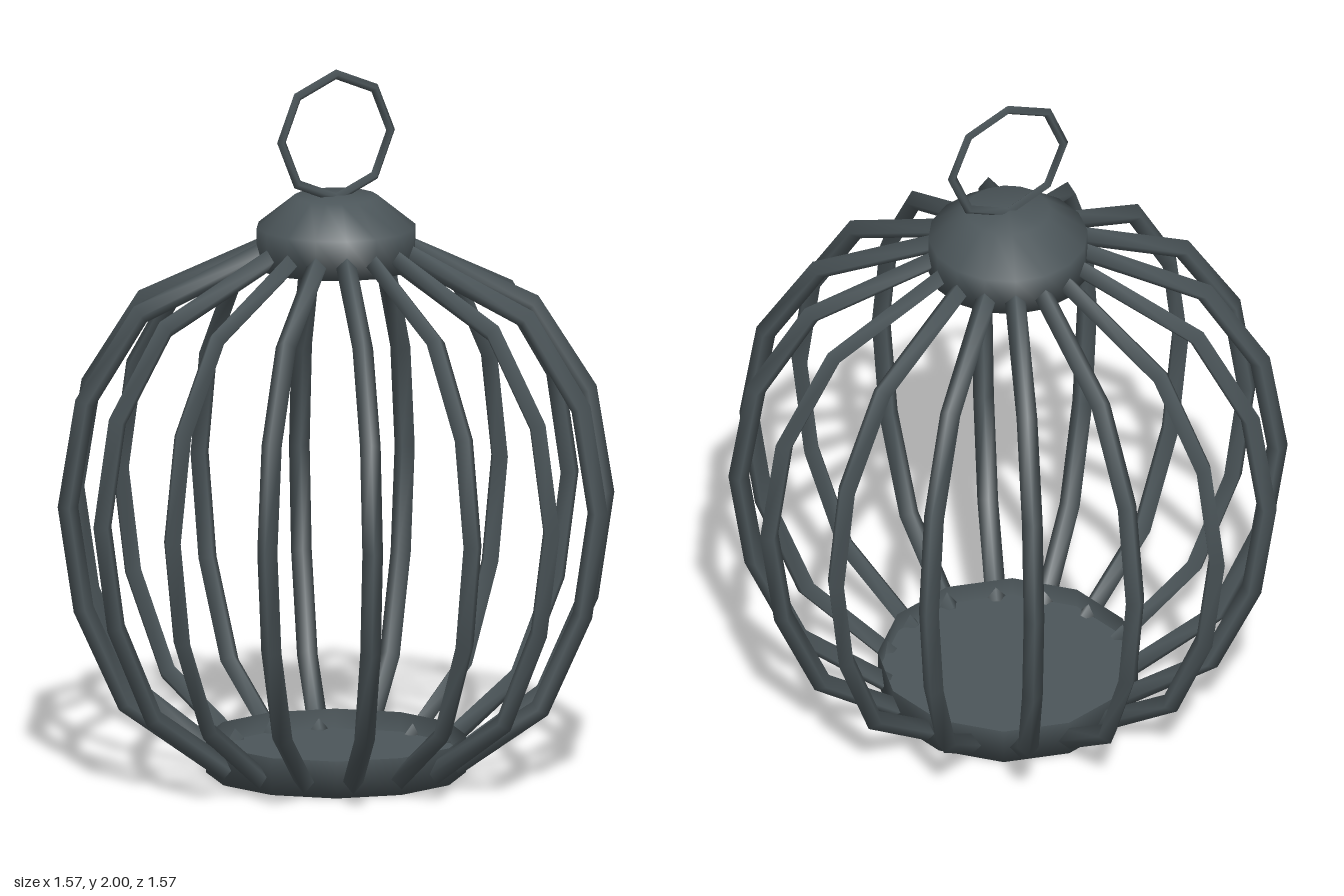
import * as THREE from 'three';

const iron = new THREE.MeshStandardMaterial({ color: 0x4c565a, side: THREE.DoubleSide });
iron.name = 'dark iron';

// Square bar, edge outward, swept along a profile of [radius, height] points.
function barGeometry(profile, r) {
  const pts = profile.map(([x, y]) => new THREE.Vector2(x, y));
  const pos = [], idx = [];
  pts.forEach((p, i) => {
    const a = pts[Math.max(i - 1, 0)], b = pts[Math.min(i + 1, pts.length - 1)];
    const t = b.clone().sub(a).normalize();
    const nx = t.y * r, ny = -t.x * r;
    pos.push(p.x + nx, p.y + ny, 0, p.x, p.y, -r, p.x - nx, p.y - ny, 0, p.x, p.y, r);
    if (i === 0) return;
    for (let k = 0; k < 4; k++) {
      const c = (i - 1) * 4 + k, d = (i - 1) * 4 + (k + 1) % 4;
      idx.push(c, d, d + 4, c, d + 4, c + 4);
    }
  });
  const e = (pts.length - 1) * 4;
  idx.push(0, 2, 1, 0, 3, 2, e, e + 1, e + 2, e, e + 2, e + 3);
  const g = new THREE.BufferGeometry();
  g.setAttribute('position', new THREE.Float32BufferAttribute(pos, 3));
  g.setIndex(idx);
  g.computeVertexNormals();
  return g;
}

function lathe(points, sides) {
  return new THREE.LatheGeometry(points.map(([x, y]) => new THREE.Vector2(x, y)), sides);
}

export function createModel() {
  const group = new THREE.Group();
  const add = (name, geometry) => {
    const mesh = new THREE.Mesh(geometry, iron);
    mesh.name = name;
    group.add(mesh);
    return mesh;
  };

  // Shallow dish at the foot
  add('baseDish', lathe([[0, 0], [0.363, 0], [0.363, 0.105]], 12));
  add('baseFloor', new THREE.CircleGeometry(0.36, 12).rotateX(-Math.PI / 2).translate(0, 0.05, 0));

  // Sixteen bowed cage bars
  const bar = barGeometry([[0.34, 0.035], [0.588, 0.212], [0.71, 0.484], [0.754, 0.776],
    [0.706, 1.07], [0.551, 1.318], [0.19, 1.492]], 0.029);
  for (let i = 0; i < 16; i++) add('cageBar', bar).rotation.y = i * Math.PI / 8;

  // Domed cap
  add('topCap', lathe([[0, 1.443], [0.223, 1.443], [0.223, 1.555], [0.117, 1.64], [0, 1.642]], 16));

  // Octagonal hanging ring
  add('hangingRing', new THREE.TorusGeometry(0.176, 0.014, 4, 8)).position.y = 1.81;

  return group;
}
